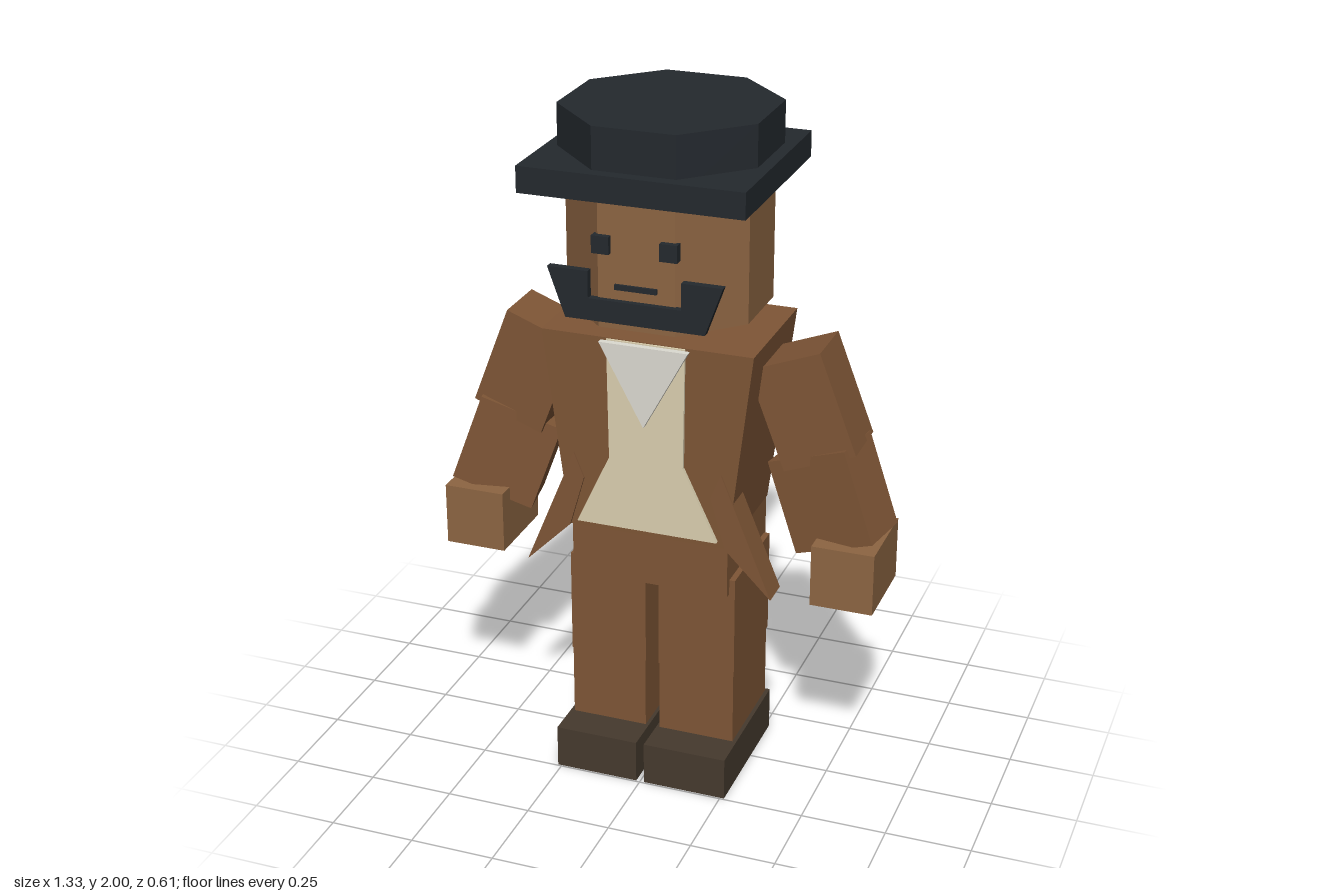
import * as THREE from 'three';

const paint = (color) => new THREE.MeshStandardMaterial({ color, flatShading: true });
const DEG = Math.PI / 180;

export function createModel() {
  const model = new THREE.Group();
  const skin = paint(0x8d6542), cloth = paint(0x7f5636), dark = paint(0x24292e);
  const leather = paint(0x463a2e), cream = paint(0xdcd0b0), white = paint(0xdddbd2);

  const add = (name, geometry, material) => {
    const mesh = new THREE.Mesh(geometry, material);
    mesh.name = name;
    model.add(mesh);
    return mesh;
  };

  // box given by its limits on each axis
  const box = (name, material, [x0, x1], [y0, y1], [z0, z1]) => {
    const mesh = add(name, new THREE.BoxGeometry(Math.abs(x1 - x0), y1 - y0, z1 - z0), material);
    mesh.position.set((x0 + x1) / 2, (y0 + y1) / 2, (z0 + z1) / 2);
    return mesh;
  };

  // upright octagonal prism, r measured to the flats
  const octagon = (name, material, r, y0, y1, z) => {
    const R = r / Math.cos(Math.PI / 8);
    const geometry = new THREE.CylinderGeometry(R, R, y1 - y0, 8).rotateY(Math.PI / 8);
    add(name, geometry, material).position.set(0, (y0 + y1) / 2, z);
  };

  // flat outline extruded along z
  const plate = (name, material, points, z0, z1) => {
    const shape = new THREE.Shape(points.map(([x, y]) => new THREE.Vector2(x, y)));
    const geometry = new THREE.ExtrudeGeometry(shape, { depth: z1 - z0, bevelEnabled: false });
    add(name, geometry, material).position.z = z0;
  };

  // outline given by its +x half, mirrored to a closed loop
  const symmetric = (half) => [...half, ...half.map(([x, y]) => [-x, y]).reverse()];

  // head, neck and hat
  octagon('neck', skin, 0.115, 1.36, 1.45, -0.015);
  octagon('head', skin, 0.265, 1.435, 1.83, -0.015);
  octagon('hatCrown', dark, 0.285, 1.825, 2, -0.02);
  box('hatBrim', dark, [-0.32, 0.32], [1.805, 1.88], [-0.27, 0.30]);

  // face
  box('mouth', dark, [-0.06, 0.06], [1.55, 1.565], [0.24, 0.258]);
  plate('beard', dark, symmetric([[0.133, 1.52], [0.133, 1.597], [0.25, 1.597], [0.2, 1.457]]), 0.245, 0.267);

  // coat body, narrowing towards the waist
  const coat = new THREE.BoxGeometry(1, 0.595, 1);
  const p = coat.attributes.position;
  for (let i = 0; i < p.count; i++) {
    const top = p.getY(i) > 0;
    p.setX(i, Math.sign(p.getX(i)) * (top ? 0.31 : 0.237));
    p.setZ(i, p.getZ(i) > 0 ? (top ? 0.18 : 0.172) : (top ? -0.21 : -0.195));
  }
  add('coatBody', coat, cloth).position.y = 1.0775;
  box('hips', cloth, [-0.235, 0.235], [0.62, 0.80], [-0.19, 0.16]);

  // shirt front and collar
  plate('shirt', cream, symmetric([[0.115, 1.373], [0.11, 1.015], [0.21, 0.8]]), 0.16, 0.186);
  plate('collar', white, [[-0.13, 1.37], [0, 1.13], [0.13, 1.37]], 0.187, 0.205);

  // paired parts
  for (const s of [1, -1]) {
    const side = s > 0 ? 'left' : 'right';
    const tilted = (name, size, [x, y, z], yaw, roll) => {
      const mesh = add(side + name, new THREE.BoxGeometry(...size), cloth);
      mesh.position.set(s * x, y, z);
      mesh.rotation.set(0, s * yaw * DEG, s * roll * DEG);
    };

    box(side + 'Eye', dark, [s * 0.072, s * 0.122], [1.65, 1.70], [0.24, 0.267]);

    // coat tail flaring outwards
    plate(side + 'CoatTail', cloth,
      [[0.22, 1.01], [0.37, 0.645], [0.235, 0.78], [0.19, 0.935]].map(([x, y]) => [s * x, y]), 0.09, 0.18);

    // arm and hand
    tilted('UpperArm', [0.22, 0.31, 0.175], [0.415, 1.183, -0.017], 0, 21);
    tilted('Forearm', [0.25, 0.28, 0.165], [0.49, 0.92, -0.005], -10, 20);
    box(side + 'Hand', skin, [s * 0.47, s * 0.652], [0.625, 0.81], [-0.125, 0.128]);

    // leg and shoe
    box(side + 'Thigh', cloth, [s * 0.02, s * 0.252], [0.35, 0.665], [-0.177, 0.14]);
    box(side + 'Shin', cloth, [s * 0.022, s * 0.25], [0.12, 0.36], [-0.168, 0.138]);
    box(side + 'Shoe', leather, [s * 0.012, s * 0.262], [0, 0.13], [-0.18, 0.245]);
  }
  return model;
}
